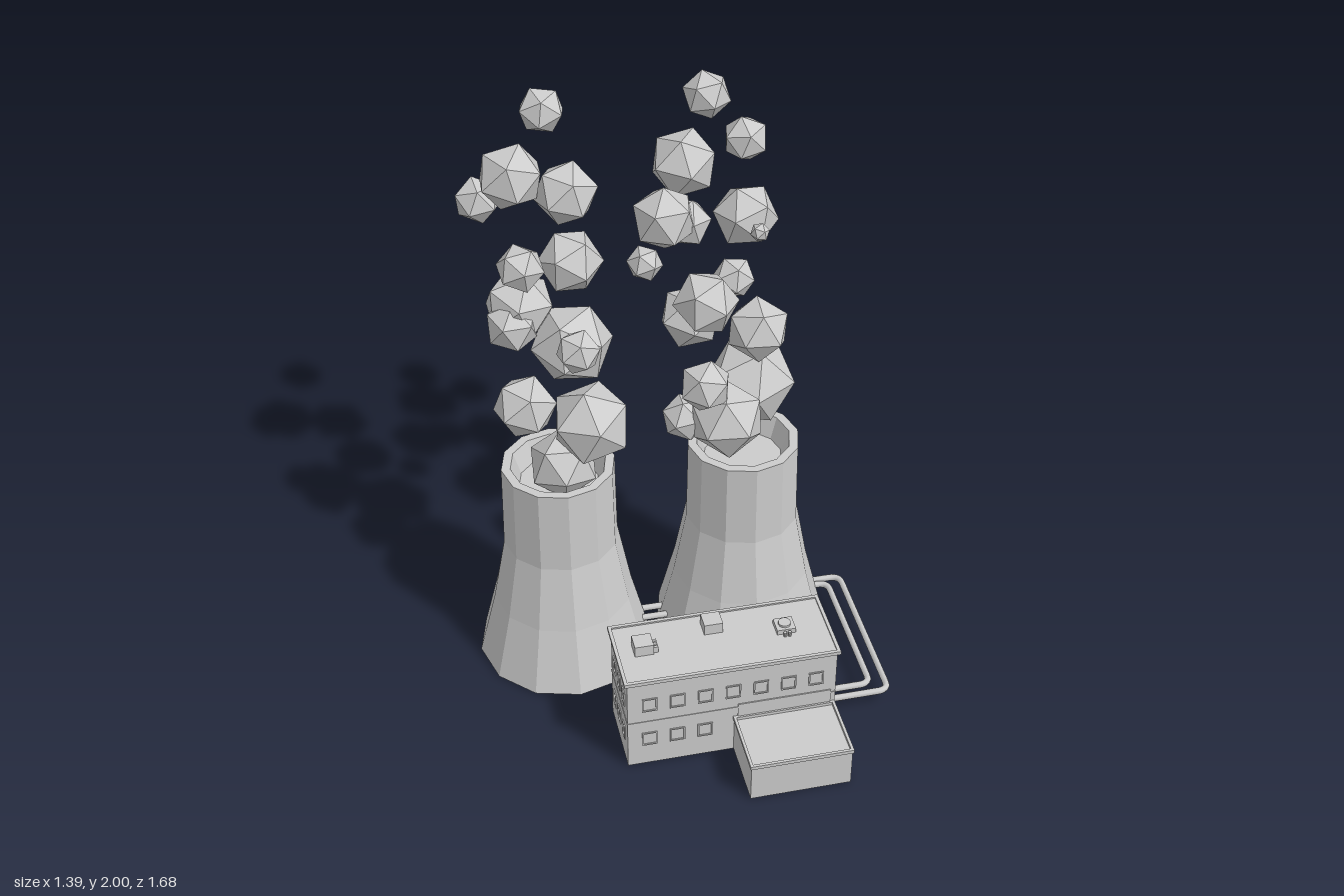
import * as THREE from 'three';

const mat = new THREE.MeshStandardMaterial({ color: 0xcccccc, flatShading: true });
const smooth = new THREE.MeshStandardMaterial({ color: 0xcccccc });

function add(parent, name, geometry, x = 0, y = 0, z = 0, material = mat) {
  const mesh = new THREE.Mesh(geometry, material);
  mesh.name = name;
  mesh.position.set(x, y, z);
  parent.add(mesh);
  return mesh;
}

// Box given by its minimum and maximum corners
function block(parent, name, x0, x1, y0, y1, z0, z1) {
  return add(parent, name, new THREE.BoxGeometry(x1 - x0, y1 - y0, z1 - z0),
    (x0 + x1) / 2, (y0 + y1) / 2, (z0 + z1) / 2);
}

// Four thin bars around the edge of a roof
function rim(parent, name, x0, x1, y0, y1, z0, z1, t) {
  block(parent, name, x0, x1, y0, y1, z0, z0 + t);
  block(parent, name, x0, x1, y0, y1, z1 - t, z1);
  block(parent, name, x0, x0 + t, y0, y1, z0 + t, z1 - t);
  block(parent, name, x1 - t, x1, y0, y1, z0 + t, z1 - t);
}

// Framed window with a recessed pane; angle turns it to face its wall
function windowUnit(parent, x, y, z, angle, w) {
  const h = 0.058, t = 0.005;
  const shape = new THREE.Shape([[-w, -h], [w, -h], [w, h], [-w, h]]
    .map(([a, b]) => new THREE.Vector2(a / 2, b / 2)));
  const iw = w / 2 - t, ih = h / 2 - t;
  shape.holes.push(new THREE.Path([[-iw, -ih], [-iw, ih], [iw, ih], [iw, -ih]]
    .map(([a, b]) => new THREE.Vector2(a, b))));
  const frame = add(parent, 'windowFrame',
    new THREE.ExtrudeGeometry(shape, { depth: 0.004, bevelEnabled: false }), x, y, z);
  frame.rotation.y = angle;
}

// Pipe along flat x/z points with rounded elbows
function pipe(parent, name, points, y, r) {
  const pts = points.map(([x, z]) => new THREE.Vector3(x, y, z));
  const path = new THREE.CurvePath();
  let from = pts[0];
  for (let i = 1; i < pts.length - 1; i++) {
    const p = pts[i], bend = 0.04;
    const a = p.clone().add(pts[i - 1].clone().sub(p).setLength(bend));
    const b = p.clone().add(pts[i + 1].clone().sub(p).setLength(bend));
    path.add(new THREE.LineCurve3(from, a));
    path.add(new THREE.QuadraticBezierCurve3(a, p, b));
    from = b;
  }
  path.add(new THREE.LineCurve3(from, pts[pts.length - 1]));
  add(parent, name, new THREE.TubeGeometry(path, 90, r, 8), 0, 0, 0, smooth);
}

// Cooling tower: flared twelve-sided shell, open mouth with an inner floor
function tower(x, z) {
  const profile = [[0, 0], [0.315, 0], [0.252, 0.25], [0.205, 0.5], [0.2, 0.82],
    [0.168, 0.82], [0.14, 0.74], [0, 0.74]].map(([r, y]) => new THREE.Vector2(r, y));
  const g = new THREE.Group();
  g.name = 'coolingTower';
  g.position.set(x, 0, z);
  add(g, 'towerShell', new THREE.LatheGeometry(profile, 12));
  return g;
}

// Smoke plume of tumbled icosahedra, each x, y, z, radius
function plume(name, puffs, seed) {
  const g = new THREE.Group();
  g.name = name;
  const rand = () => (seed = (seed * 16807) % 2147483647) / 2147483647;
  for (const [x, y, z, r] of puffs) {
    const puff = add(g, 'smokePuff', new THREE.IcosahedronGeometry(r * 1.05, 0), x, y, z);
    puff.rotation.set(rand() * 6.28, rand() * 6.28, rand() * 6.28);
  }
  return g;
}

function building() {
  const g = new THREE.Group();
  g.name = 'plantBuilding';
  const x0 = -0.287, x1 = 0.447, z0 = 0.322, z1 = 0.595;
  block(g, 'mainHall', x0, x1, 0, 0.382, z0, z1);
  block(g, 'floorBand', x0 - 0.002, x1 + 0.002, 0.197, 0.201, z0 - 0.002, z1 + 0.002);
  block(g, 'roofSlab', x0 - 0.01, x1 + 0.01, 0.38, 0.388, z0 - 0.015, z1 + 0.009);
  rim(g, 'roofEdge', x0 - 0.01, x1 + 0.01, 0.388, 0.394, z0 - 0.015, z1 + 0.009, 0.012);

  // Windows on all four walls
  for (const y of [0.118, 0.278]) {
    for (let i = 0; i < 7; i++) {
      const x = -0.21 + i * 0.0975;
      if (y > 0.2 || i < 3) windowUnit(g, x, y, z1, 0, 0.053);
      windowUnit(g, x, y, z0, Math.PI, 0.053);
    }
    for (let i = 0; i < 3; i++) {
      const z = 0.385 + i * 0.075;
      windowUnit(g, x1, y, z, Math.PI / 2, 0.043);
      windowUnit(g, x0, y, z, -Math.PI / 2, 0.043);
    }
  }

  // Front annex with parapet and the long panel above it
  block(g, 'annex', 0.088, 0.442, 0, 0.146, z1 - 0.01, 0.835);
  rim(g, 'annexParapet', 0.084, 0.446, 0.144, 0.158, z1, 0.84, 0.01);
  block(g, 'wallPanel', 0.1, 0.43, 0.158, 0.214, z1, z1 + 0.004);

  // Rooftop units
  const units = [[-0.2, 0.44, 0.43], [0.055, 0.385, 0.43], [0.3, 0.44, 0.407]];
  for (const [x, z, top] of units) {
    block(g, 'roofUnit', x - 0.033, x + 0.033, 0.386, top, z - 0.031, z + 0.031);
  }
  add(g, 'roofFan', new THREE.CylinderGeometry(0.022, 0.022, 0.01, 12), 0.3, 0.41, 0.44);
  for (let i = 0; i < 3; i++) {
    block(g, 'unitVent', -0.168, -0.15, 0.386, 0.412, 0.422 + i * 0.016, 0.432 + i * 0.016);
  }
  for (const x of [0.292, 0.308]) {
    add(g, 'unitPipe', new THREE.CylinderGeometry(0.006, 0.006, 0.02, 8), x, 0.396, 0.482);
  }
  return g;
}

export function createModel() {
  const model = new THREE.Group();
  model.name = 'powerPlant';
  model.add(tower(-0.383, -0.095), tower(0.28, -0.095), building());

  // Pipes from the building to the tower, and between the towers
  pipe(model, 'outerPipe', [[0.43, 0.5], [0.68, 0.5], [0.68, -0.122], [0.53, -0.122]], 0.067, 0.012);
  pipe(model, 'innerPipe', [[0.43, 0.455], [0.625, 0.455], [0.625, -0.095], [0.53, -0.095]], 0.067, 0.012);
  for (const z of [-0.11, -0.06]) {
    pipe(model, 'linkPipe', [[-0.14, z], [0.04, z]], 0.067, 0.012);
  }

  model.add(plume('rightPlume', [
    [-0.365, 0.82, -0.09, 0.12], [-0.27, 1.01, -0.05, 0.14], [-0.475, 1.01, -0.19, 0.11],
    [-0.3, 1.235, -0.21, 0.14], [-0.305, 1.305, -0.055, 0.075], [-0.465, 1.37, -0.28, 0.12],
    [-0.5, 1.33, -0.22, 0.09], [-0.27, 1.46, -0.37, 0.11], [-0.465, 1.565, -0.2, 0.08],
    [-0.55, 1.615, -0.58, 0.08], [-0.255, 1.645, -0.51, 0.11], [-0.44, 1.72, -0.53, 0.115],
    [-0.29, 1.835, -0.757, 0.082],
  ], 17));
  model.add(plume('leftPlume', [
    [0.2, 0.97, -0.02, 0.13], [0.33, 0.99, -0.2, 0.155], [0.07, 0.94, -0.1, 0.08],
    [0.12, 1.13, -0.01, 0.09], [0.14, 1.2, -0.33, 0.11], [0.34, 1.23, -0.16, 0.11],
    [0.15, 1.38, -0.14, 0.11], [0.28, 1.38, -0.27, 0.072], [0.135, 1.555, -0.38, 0.085],
    [-0.045, 1.52, -0.21, 0.06], [0.05, 1.605, -0.34, 0.11], [0.335, 1.58, -0.34, 0.11],
    [0.345, 1.6, -0.19, 0.032], [0.16, 1.7, -0.53, 0.118], [0.38, 1.765, -0.535, 0.08],
    [0.255, 1.918, -0.592, 0.082],
  ], 91));
  return model;
}
